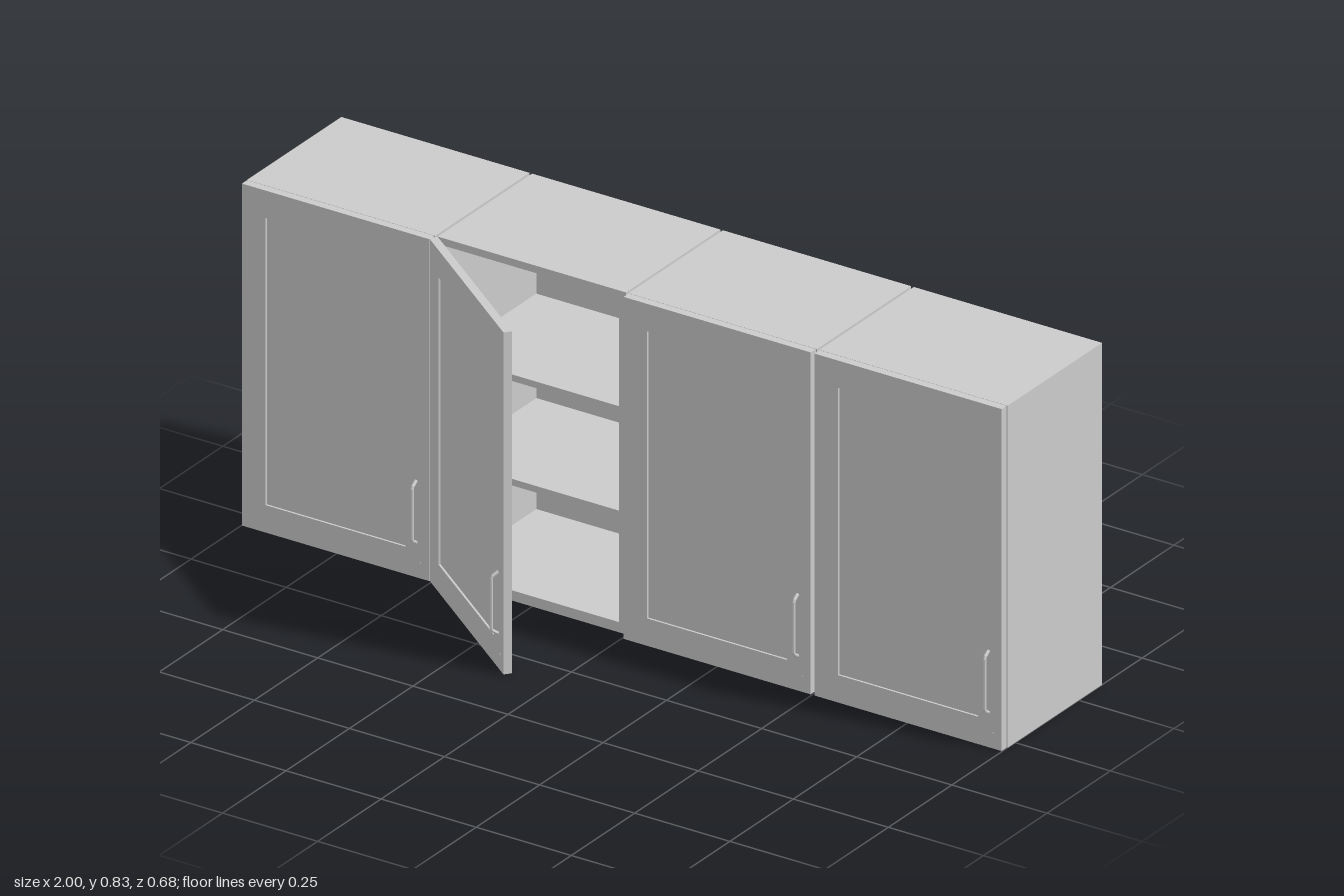
import * as THREE from 'three';

const mat = new THREE.MeshStandardMaterial({ color: 0xcccccc, flatShading: true });
const W = 0.495, H = 0.835, T = 0.018;       // cabinet width, height, board thickness
const BACK = -0.342, FRONT = 0.03;           // carcass depth range
const DOOR_T = 0.021, FRAME = 0.067, RECESS = 0.005;

function add(parent, name, geometry, x = 0, y = 0, z = 0) {
  const mesh = new THREE.Mesh(geometry, mat);
  mesh.name = name;
  mesh.position.set(x, y, z);
  parent.add(mesh);
  return mesh;
}

// Box given by its minimum and maximum corners
function board(parent, name, x0, x1, y0, y1, z0, z1) {
  return add(parent, name, new THREE.BoxGeometry(x1 - x0, y1 - y0, z1 - z0),
    (x0 + x1) / 2, (y0 + y1) / 2, (z0 + z1) / 2);
}

function rectPoints(x0, y0, x1, y1) {
  return [[x0, y0], [x1, y0], [x1, y1], [x0, y1]].map(([x, y]) => new THREE.Vector2(x, y));
}

// Hollow box with two shelves
function makeCarcass() {
  const g = new THREE.Group();
  g.name = 'carcass';
  board(g, 'leftSide', W - T, W, 0, H, BACK, FRONT);
  board(g, 'rightSide', 0, T, 0, H, BACK, FRONT);
  board(g, 'bottomBoard', T, W - T, 0, 0.025, BACK, FRONT);
  board(g, 'topBoard', T, W - T, H - T, H, BACK, FRONT);
  board(g, 'backBoard', T, W - T, 0.025, H - T, BACK, BACK + 0.01);
  for (const y of [0.28, 0.535]) board(g, 'shelf', T, W - T, y, y + 0.016, BACK + 0.01, FRONT - 0.002);
  return g;
}

// Arched bar handle, standing out along +z
function makeHandle() {
  const path = new THREE.CurvePath();
  const p = [[0.085, 0], [0.095, 0.016], [0.225, 0.016], [0.236, 0]].map(([y, z]) => new THREE.Vector3(0, y, z));
  for (let i = 0; i < 3; i++) path.add(new THREE.LineCurve3(p[i], p[i + 1]));
  return new THREE.TubeGeometry(path, 30, 0.004, 8);
}

// Framed door with a recessed panel; origin is the hinge edge at the back face
function makeDoor() {
  const g = new THREE.Group();
  g.name = 'door';
  const w = W - 0.003;
  const shape = new THREE.Shape(rectPoints(0, 0, w, H));
  shape.holes.push(new THREE.Path(rectPoints(FRAME - 0.005, FRAME, w - FRAME + 0.005, H - FRAME).reverse()));
  add(g, 'doorFrame', new THREE.ExtrudeGeometry(shape, { depth: DOOR_T - 0.001, bevelEnabled: false }), 0, 0, 0.001);
  board(g, 'doorPanel', FRAME - 0.006, w - FRAME + 0.006, FRAME - 0.001, H - FRAME + 0.001, RECESS + 0.001, DOOR_T - RECESS);
  add(g, 'handle', makeHandle(), 0.458, 0, DOOR_T);
  const stud = add(g, 'doorStud', new THREE.CylinderGeometry(0.003, 0.003, 0.002, 10), 0.468, 0.037, DOOR_T);
  stud.rotation.x = Math.PI / 2;
  return g;
}

export function createModel() {
  const model = new THREE.Group();
  model.name = 'wallCabinets';
  const pitch = (2 - W) / 3;
  for (let i = 0; i < 4; i++) {
    const cabinet = new THREE.Group();
    cabinet.name = 'cabinet' + (i + 1);
    cabinet.position.x = -1 + i * pitch;
    cabinet.add(makeCarcass());

    // The second door stands open
    const door = makeDoor();
    door.position.set(0.001, 0, FRONT);
    if (i === 1) door.rotation.y = -0.645;
    cabinet.add(door);

    // Hinge barrels along the seam
    for (const y of [0.175, 0.655]) {
      add(cabinet, 'hinge', new THREE.CylinderGeometry(0.003, 0.003, 0.13, 10), 0.001, y, FRONT + 0.001);
    }
    model.add(cabinet);
  }
  return model;
}
